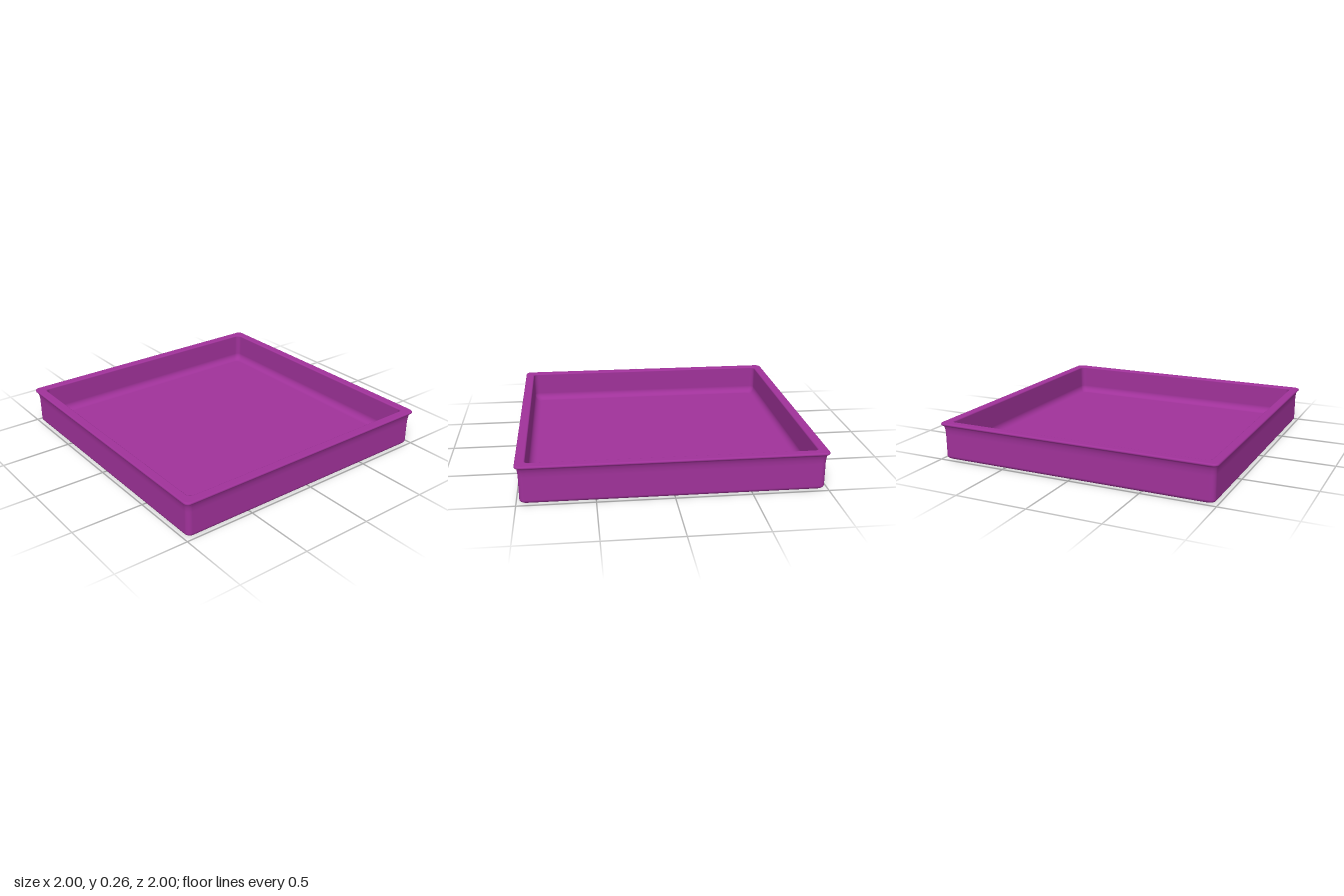
import * as THREE from 'three';

const STEPS = 6;        // segments per rounded corner
const CORNER = 0.035;   // corner radius in plan

// Profile entries are [half width, height, normal angle in degrees].
// A negative radius gives a concave fillet.
function arc(h, y, r, from, to, n = 5) {
  return Array.from({ length: n + 1 }, (_, i) => {
    const deg = from + (to - from) * i / n;
    const a = THREE.MathUtils.degToRad(deg);
    return [h + r * Math.cos(a), y + r * Math.sin(a), deg];
  });
}

// Sweeps the profile around a square with rounded corners.
function squareLathe(profile) {
  const position = [], normal = [], index = [];
  const ring = 4 * (STEPS + 1);
  profile.forEach(([h, y, deg], row) => {
    const a = THREE.MathUtils.degToRad(deg);
    const r = Math.min(CORNER, h);
    for (let q = 0; q < 4; q++) {
      const sx = q === 0 || q === 3 ? 1 : -1;
      const sz = q < 2 ? 1 : -1;
      for (let s = 0; s <= STEPS; s++) {
        const t = (q + s / STEPS) * Math.PI / 2;
        const dx = Math.cos(t), dz = Math.sin(t);
        position.push(sx * (h - r) + r * dx, y, sz * (h - r) + r * dz);
        normal.push(Math.cos(a) * dx, Math.sin(a), Math.cos(a) * dz);
      }
    }
    if (row === 0) return;
    for (let i = 0; i < ring; i++) {
      const j = (i + 1) % ring;
      const lo = (row - 1) * ring, hi = row * ring;
      index.push(lo + i, hi + i, lo + j, lo + j, hi + i, hi + j);
    }
  });
  const geometry = new THREE.BufferGeometry();
  geometry.setAttribute('position', new THREE.Float32BufferAttribute(position, 3));
  geometry.setAttribute('normal', new THREE.Float32BufferAttribute(normal, 3));
  geometry.setIndex(index);
  return geometry;
}

export function createModel() {
  const group = new THREE.Group();
  group.name = 'squareTray';

  const profile = [
    [0, 0, -90],                            // underside
    ...arc(0.955, 0.025, 0.025, -90, 0),    // rounded bottom edge
    [0.98, 0.18, 0],                        // outer wall
    [0.982, 0.21, -8],                      // flare below the lip
    [0.986, 0.233, -20],
    [0.990, 0.241, -50],
    ...arc(0.99, 0.251, 0.01, -60, 90),     // lip
    ...arc(0.945, 0.251, 0.01, 90, 180),    // inner rim edge
    ...arc(0.885, 0.095, -0.05, 180, 90, 8).map(([h, y, d]) => [h, y, d]), // floor fillet
    [0, 0.045, 90],                         // floor
  ];
  // The concave fillet bulges outward and down, away from its normals.
  const tray = new THREE.Mesh(
    squareLathe(profile),
    new THREE.MeshStandardMaterial({ color: 0xa0329a }),
  );
  tray.name = 'tray';
  group.add(tray);
  return group;
}
